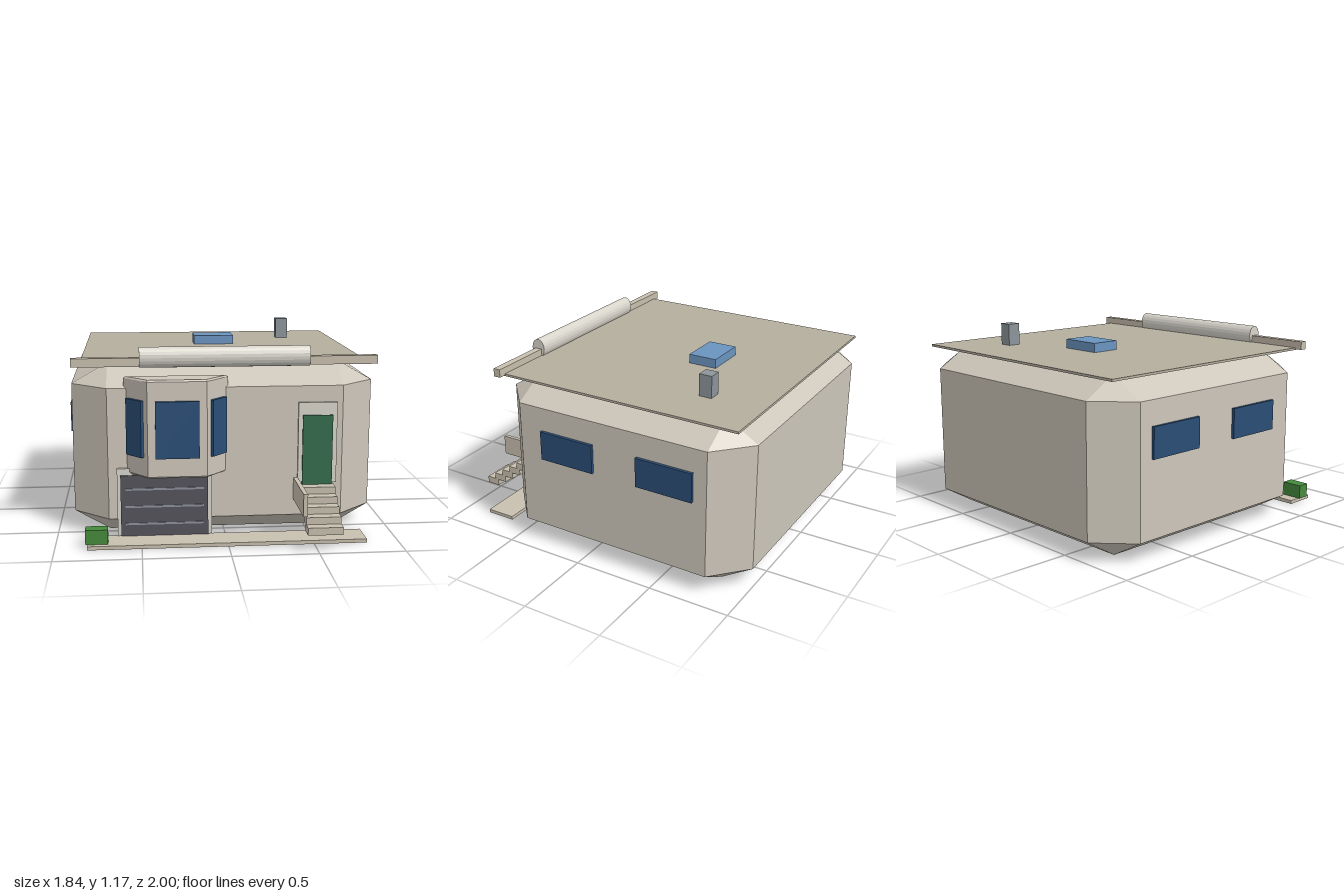
import * as THREE from 'three';
import { ConvexGeometry } from 'three/addons/geometries/ConvexGeometry.js';

const mat = (color) => new THREE.MeshStandardMaterial({ color, flatShading: true });

export function createModel() {
  const house = new THREE.Group();
  house.name = 'house';

  const wall = mat(0xcdc6ba), roofMat = mat(0xb5ae9f), trim = mat(0xd8d5cb), tan = mat(0xc8bfae);
  const glass = mat(0x2a4d75), skyGlass = mat(0x6a94c0), metal = mat(0x8c949a);
  const doorGreen = mat(0x336b4c), bushGreen = mat(0x458a3c), shutter = mat(0x55535c), slat = mat(0x8f919c);

  const add = (name, geometry, material, parent = house) => {
    const mesh = new THREE.Mesh(geometry, material);
    mesh.name = name;
    parent.add(mesh);
    return mesh;
  };
  // Box given by its limits along each axis
  const box = (name, material, [x0, x1], [y0, y1], [z0, z1], parent) => {
    const mesh = add(name, new THREE.BoxGeometry(x1 - x0, y1 - y0, z1 - z0), material, parent);
    mesh.position.set((x0 + x1) / 2, (y0 + y1) / 2, (z0 + z1) / 2);
    return mesh;
  };

  // Main body: a block with every edge and corner chamfered
  const half = [0.9, 0.51, 0.82], inner = [0.69, 0.39, 0.625];
  const corners = [];
  for (const sx of [-1, 1]) for (const sy of [-1, 1]) for (const sz of [-1, 1]) {
    for (let axis = 0; axis < 3; axis++) {
      const c = inner.map((v, i) => (i === axis ? half[i] : v));
      corners.push(new THREE.Vector3(sx * c[0], sy * c[1], sz * c[2]));
    }
  }
  add('body', new ConvexGeometry(corners), wall).position.set(0, 0.512, -0.178);

  // Roof and what stands on it
  box('roof', roofMat, [-0.845, 0.845], [1.02, 1.034], [-0.953, 0.6]);
  box('skylight', skyGlass, [-0.13, 0.13], [1.03, 1.09], [-0.437, -0.257]);
  box('chimney', metal, [0.46, 0.54], [1.03, 1.167], [-0.63, -0.55]);
  box('parapet', tan, [-0.89, 0.89], [1.025, 1.075], [0.59, 0.635]);
  const roll = add('awningRoll', new THREE.CylinderGeometry(0.06, 0.06, 0.99, 20), trim);
  roll.rotation.z = Math.PI / 2;
  roll.scale.z = 0.75;
  roll.position.set(-0.005, 1.076, 0.613);

  // Side windows
  for (const side of [-1, 1]) for (const z of [0.113, -0.54]) {
    const win = add('sideWindow', new THREE.BoxGeometry(0.026, 0.18, 0.36), glass);
    win.position.set(side * 0.905, 0.668, z);
  }

  // Bay window with slightly bevelled edges
  const bay = new THREE.Group();
  bay.name = 'bayWindow';
  bay.position.x = -0.29;
  house.add(bay);
  const plan = new THREE.Shape([[-0.29, -0.63], [-0.165, -0.775], [0.165, -0.775], [0.29, -0.63]]
    .map(([x, y]) => new THREE.Vector2(x, y)));
  const bayGeometry = new THREE.ExtrudeGeometry(plan, {
    depth: 0.55, bevelEnabled: true, bevelThickness: 0.01, bevelSize: 0.01, bevelSegments: 1,
  });
  bayGeometry.rotateX(-Math.PI / 2);
  add('bayBody', bayGeometry, wall, bay).position.y = 0.41;
  box('bayFrontPane', glass, [-0.125, 0.125], [0.52, 0.85], [0.775, 0.805], bay);
  for (const side of [-1, 1]) {
    const pane = add('bayAngledPane', new THREE.BoxGeometry(0.13, 0.33, 0.022), glass, bay);
    pane.position.set(side * 0.241, 0.685, 0.715);
    pane.rotation.y = side * 0.85;
  }

  // Garage door
  box('garageFrame', trim, [-0.64, -0.085], [0.02, 0.43], [0.636, 0.657]);
  box('garageDoor', shutter, [-0.62, -0.107], [0.022, 0.39], [0.645, 0.666]);
  for (const y of [0.096, 0.201, 0.306]) {
    box('garageSlat', slat, [-0.592, -0.132], [y - 0.006, y + 0.006], [0.66, 0.67]);
  }

  // Entrance door
  box('doorFrame', trim, [0.425, 0.655], [0.32, 0.805], [0.635, 0.658]);
  box('entranceDoor', doorGreen, [0.45, 0.628], [0.31, 0.73], [0.64, 0.668]);

  // Entrance steps, descending away from the door, and the low wall beside them
  for (let i = 0; i < 5; i++) {
    const top = 0.312 - i * 0.0415, z = 0.645 + i * 0.0625;
    box('step', tan, [0.435, 0.638], [top - 0.044, top], [z, z + 0.085]);
  }
  box('stairWall', tan, [0.402, 0.427], [0.22, 0.35], [0.64, 1.0]);

  // Pavement strip and hedge
  box('pavement', tan, [-0.815, 0.81], [0, 0.022], [0.65, 0.835]);
  box('hedge', bushGreen, [-0.825, -0.695], [0.022, 0.108], [0.725, 0.803]);

  return house;
}
